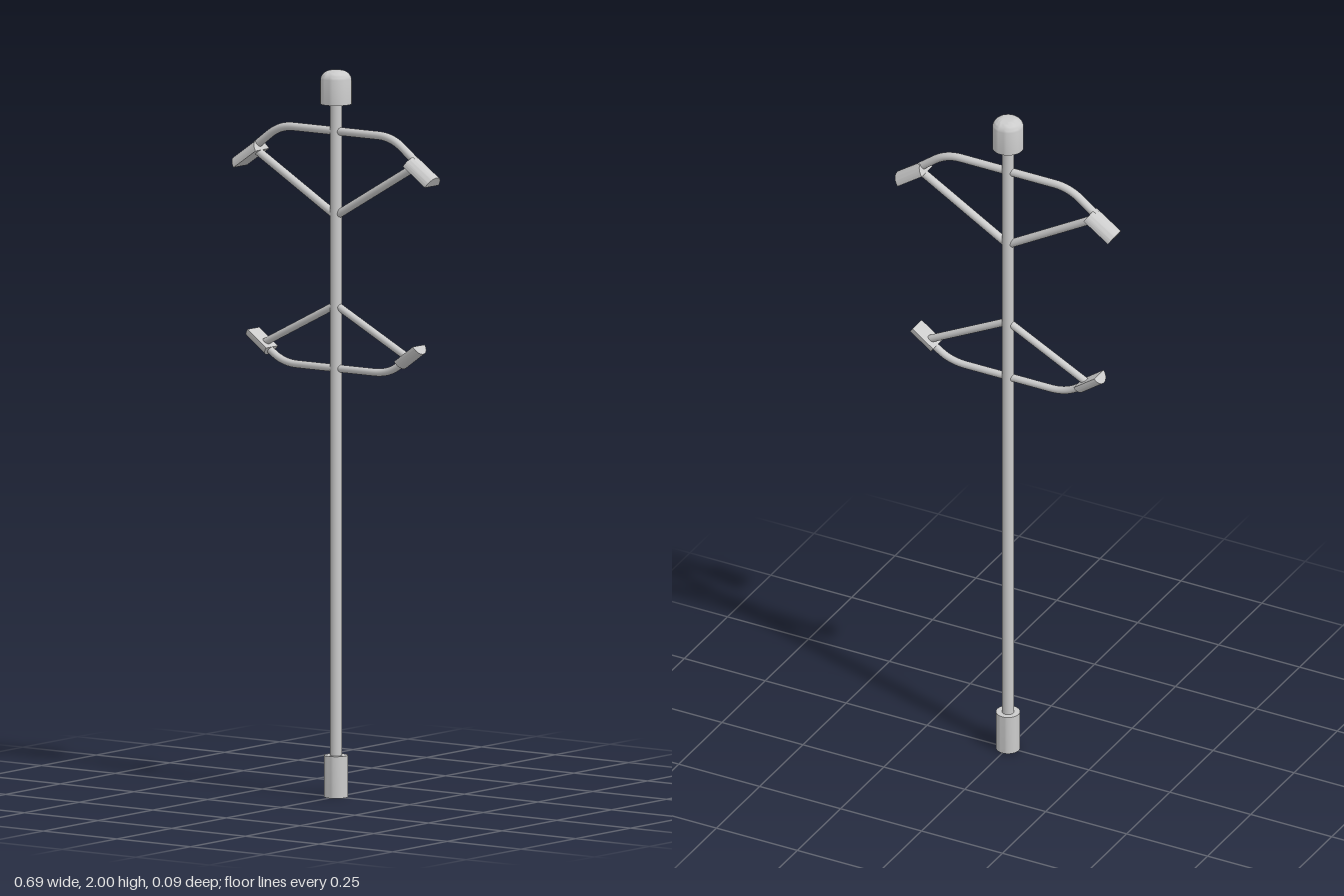
import * as THREE from 'three';
import { toCreasedNormals } from 'three/addons/utils/BufferGeometryUtils.js';

const material = new THREE.MeshStandardMaterial({ color: 0xcccccc });
const V = (x, y) => new THREE.Vector3(x, y, 0);

function part(name, geometry) {
  const mesh = new THREE.Mesh(geometry, material);
  mesh.name = name;
  return mesh;
}

// Turned solid from [radius, height] points, listed from bottom to top
function turned(name, points) {
  const profile = points.map(([r, y]) => new THREE.Vector2(r, y));
  return part(name, toCreasedNormals(new THREE.LatheGeometry(profile, 32), 0.6));
}

// Straight round strut between two points
function strut(name, a, b, radius) {
  const d = b.clone().sub(a);
  const mesh = part(name, new THREE.CylinderGeometry(radius, radius, d.length(), 16));
  mesh.position.copy(a).add(b).multiplyScalar(0.5);
  mesh.quaternion.setFromUnitVectors(V(0, 1), d.normalize());
  return mesh;
}

// Half-round grip: flat face runs from inner to outer, round side faces up or down
function grip(name, inner, outer, radius, up) {
  const shape = new THREE.Shape();
  shape.absarc(0, 0, radius, 0, Math.PI, false);
  shape.closePath();
  const axis = outer.clone().sub(inner);
  const geometry = new THREE.ExtrudeGeometry(shape, {
    depth: axis.length(), bevelEnabled: false, curveSegments: 20
  });
  axis.normalize();
  const bulge = V(-axis.y, axis.x);
  if (bulge.y * up < 0) bulge.negate();
  const side = new THREE.Vector3().crossVectors(bulge, axis);
  geometry.applyMatrix4(new THREE.Matrix4().makeBasis(side, bulge, axis).setPosition(inner));
  return part(name, toCreasedNormals(geometry, 0.6));
}

// Bar across the pole with a rounded bend towards each grip
function bentBar(name, barY, bendX, end, radius) {
  const path = new THREE.CurvePath();
  const corner = V(bendX, barY);
  const slope = corner.clone().lerp(end, 0.45);
  const flip = (p) => V(-p.x, p.y);
  const start = V(bendX - 0.045, barY);
  path.add(new THREE.LineCurve3(flip(end), flip(slope)));
  path.add(new THREE.QuadraticBezierCurve3(flip(slope), flip(corner), flip(start)));
  path.add(new THREE.LineCurve3(flip(start), start));
  path.add(new THREE.QuadraticBezierCurve3(start, corner, slope));
  path.add(new THREE.LineCurve3(slope, end));
  return part(name, new THREE.TubeGeometry(path, 72, radius, 16, false));
}

// One frame: bent bar, two struts and two grips
function frame(name, o) {
  const group = new THREE.Group();
  group.name = name;
  group.add(bentBar('bentBar', o.barY, o.bendX, V(...o.barEnd), o.radius));
  for (const [label, s] of [['left', 1], ['right', -1]]) {
    const at = ([x, y]) => V(s * x, y);
    group.add(strut(label + 'Strut', V(0, o.strutY), at(o.strutEnd), o.radius));
    group.add(grip(label + 'Grip', at(o.inner), at(o.outer), o.gripRadius, o.up));
  }
  return group;
}

export function createModel() {
  const model = new THREE.Group();
  model.name = 'poleWithFrames';

  // Pole with a foot sleeve and a rounded head
  const pole = part('pole', new THREE.CylinderGeometry(0.017, 0.017, 1.9, 24));
  pole.position.y = 0.98;
  model.add(pole);
  model.add(turned('footSleeve', [[0, 0], [0.033, 0], [0.033, 0.115], [0, 0.115]]));
  const head = [[0, 1.908], [0.043, 1.908]];
  for (let i = 0; i <= 8; i++) {
    const a = (i / 8) * Math.PI / 2;
    head.push([0.015 + 0.028 * Math.cos(a), 1.972 + 0.028 * Math.sin(a)]);
  }
  head.push([0, 2]);
  model.add(turned('head', head));

  // Upper frame opens upwards, lower frame opens downwards
  model.add(frame('upperFrame', {
    barY: 1.833, bendX: 0.19, barEnd: [0.27, 1.772], strutY: 1.6, strutEnd: [0.268, 1.757],
    inner: [0.25, 1.76], outer: [0.325, 1.708], radius: 0.0115, gripRadius: 0.031, up: 1
  }));
  model.add(frame('lowerFrame', {
    barY: 1.18, bendX: 0.175, barEnd: [0.245, 1.225], strutY: 1.355, strutEnd: [0.24, 1.232],
    inner: [0.217, 1.22], outer: [0.281, 1.266], radius: 0.0105, gripRadius: 0.027, up: -1
  }));
  return model;
}
